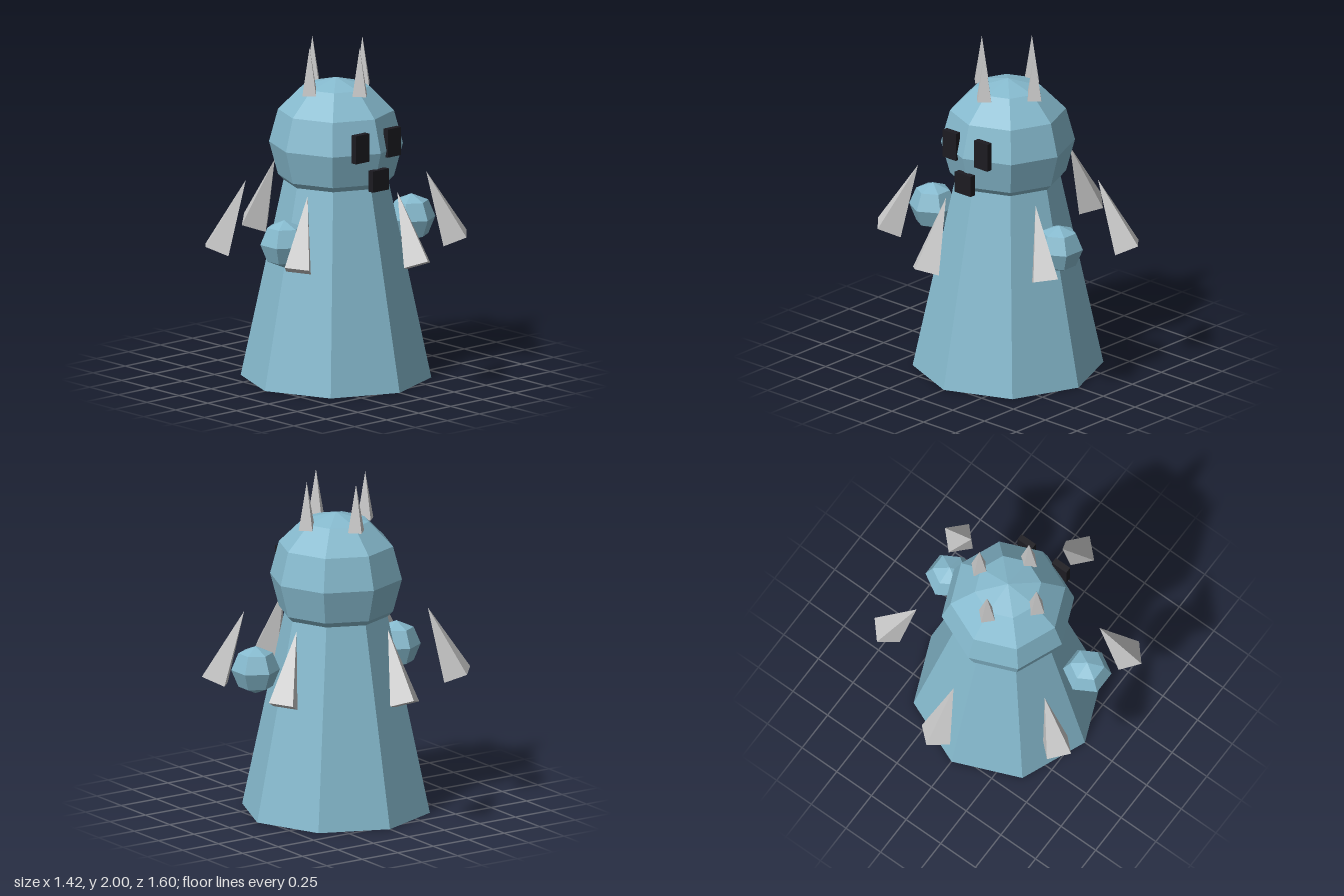
import * as THREE from 'three';

export function createModel() {
  const group = new THREE.Group();
  const mat = (color) => new THREE.MeshStandardMaterial({ color, flatShading: true });
  const blue = mat(0x86bace);
  const grey = mat(0xcccccc);
  const dark = mat(0x1c1b21);

  const add = (name, geometry, material, x, y, z) => {
    const mesh = new THREE.Mesh(geometry, material);
    mesh.name = name;
    mesh.position.set(x, y, z);
    group.add(mesh);
    return mesh;
  };

  // Eight-sided tapered body and low-poly head
  add('body', new THREE.CylinderGeometry(0.3, 0.555, 1.2, 8), blue, 0, 0.6, 0);
  add('head', new THREE.SphereGeometry(0.39, 8, 6), blue, 0, 1.4, 0);

  // Face
  for (const [side, s] of [['left', 1], ['right', -1]]) {
    add(`${side}Eye`, new THREE.BoxGeometry(0.104, 0.168, 0.038), dark, s * 0.124, 1.445, 0.352);
    // Floating hands
    const hand = add(`${side}Hand`, new THREE.SphereGeometry(0.142, 6, 4), blue, s * 0.496, 0.89, 0.103);
    hand.rotation.y = Math.PI / 2;
  }
  add('mouth', new THREE.BoxGeometry(0.124, 0.126, 0.038), dark, 0, 1.24, 0.372);

  // Crown of four upright spikes
  const crownSpike = new THREE.ConeGeometry(0.057, 0.285, 4);
  for (let i = 0; i < 4; i++) {
    const a = (i * Math.PI) / 2;
    add(`crownSpike${i + 1}`, crownSpike, grey, 0.206 * Math.sin(a), 1.8575, 0.206 * Math.cos(a));
  }

  // Ring of six spikes leaning in towards the body
  const ringSpike = new THREE.ConeGeometry(0.102, 0.444, 4);
  const tilt = 0.4;
  for (let i = 0; i < 6; i++) {
    const a = (i * Math.PI) / 3;
    const spike = add(`ringSpike${i + 1}`, ringSpike, grey, 0.621 * Math.sin(a), 0.995, 0.621 * Math.cos(a));
    spike.rotation.set(-tilt * Math.cos(a), 0, tilt * Math.sin(a));
  }

  return group;
}
